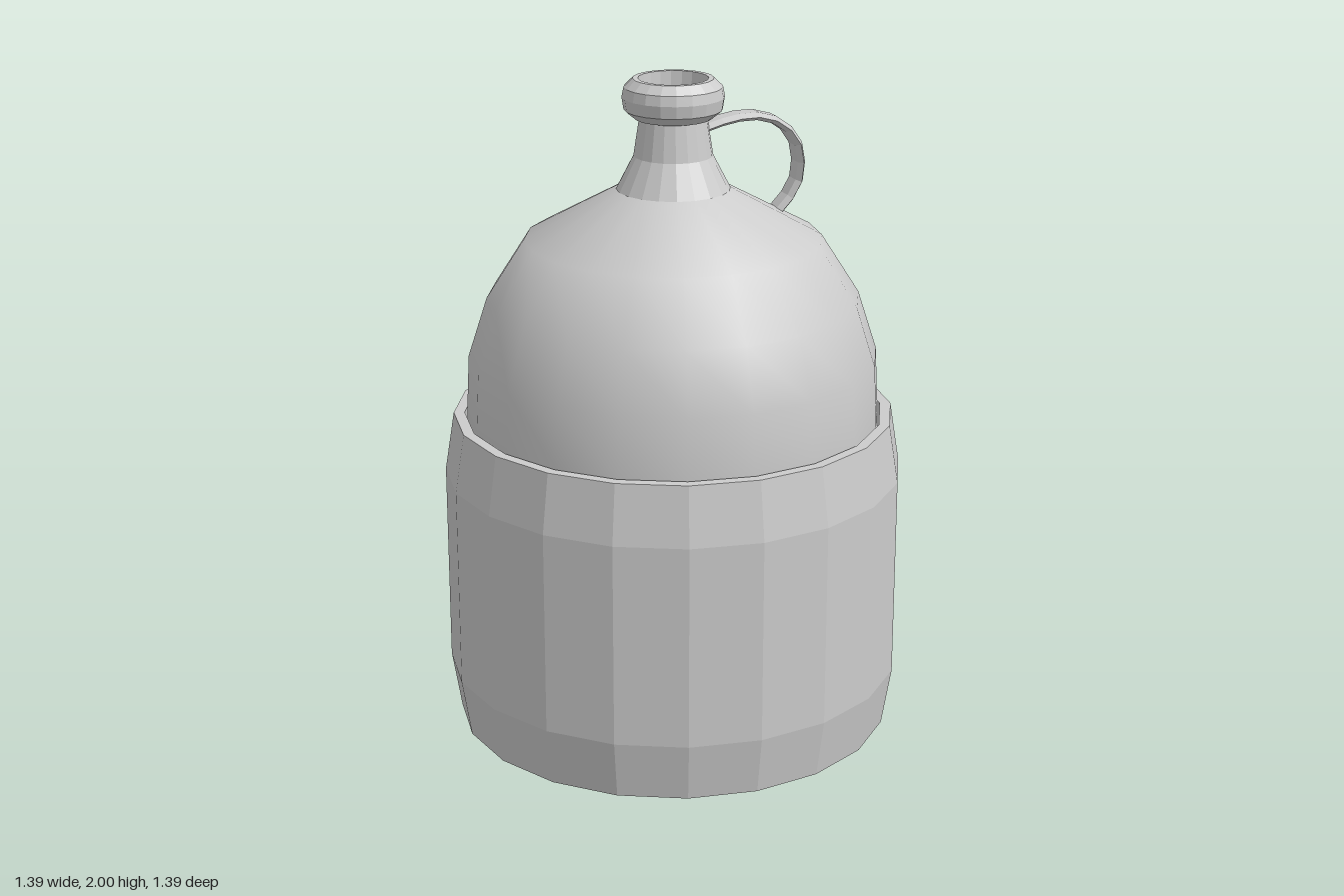
import * as THREE from 'three';

const SIDES = 20;

function material(flatShading) {
  return new THREE.MeshStandardMaterial({ color: 0xcccccc, flatShading });
}

// Revolved part from [radius, height] pairs, listed upward along the outside
function turned(name, profile, flat) {
  const points = profile.map(([r, y]) => new THREE.Vector2(r, y));
  const mesh = new THREE.Mesh(new THREE.LatheGeometry(points, SIDES), material(flat));
  mesh.name = name;
  return mesh;
}

export function createModel() {
  const jug = new THREE.Group();
  jug.name = 'jug';

  // Faceted outer sleeve with a flat base and a flat rim
  jug.add(turned('sleeve', [
    [0, 0], [0.668, 0], [0.697, 0.18], [0.697, 0.8], [0.668, 0.98],
    [0.635, 0.98], [0.635, 0.9], [0, 0.9],
  ], true));

  // Smooth domed body rising out of the sleeve
  jug.add(turned('body', [
    [0.627, 0.9], [0.627, 0.98], [0.618, 1.16], [0.56, 1.34],
    [0.445, 1.52], [0.17, 1.67],
  ], false));

  // Faceted neck
  jug.add(turned('neck', [
    [0.17, 1.67], [0.118, 1.77], [0.098, 1.9],
  ], true));

  // Rounded lip with a shallow mouth
  jug.add(turned('lip', [
    [0.09, 1.882], [0.115, 1.882], [0.146, 1.908], [0.152, 1.945],
    [0.146, 1.975], [0.12, 2], [0.104, 2], [0.098, 1.9], [0, 1.9],
  ], true));

  // Strap handle: a flat hexagonal section swept from neck to shoulder
  const path = new THREE.CatmullRomCurve3([
    [0.09, 1.845], [0.18, 1.867], [0.27, 1.868], [0.34, 1.84],
    [0.39, 1.785], [0.405, 1.71], [0.39, 1.64], [0.33, 1.57],
  ].map(([x, y]) => new THREE.Vector3(x, y, 0)));
  const section = new THREE.Shape([
    [-0.045, 0], [-0.024, -0.012], [0.024, -0.012],
    [0.045, 0], [0.024, 0.012], [-0.024, 0.012],
  ].map(([x, y]) => new THREE.Vector2(x, y)));
  const handle = new THREE.Mesh(
    new THREE.ExtrudeGeometry(section, { steps: 10, extrudePath: path }),
    material(true),
  );
  handle.name = 'handle';
  jug.add(handle);

  return jug;
}
